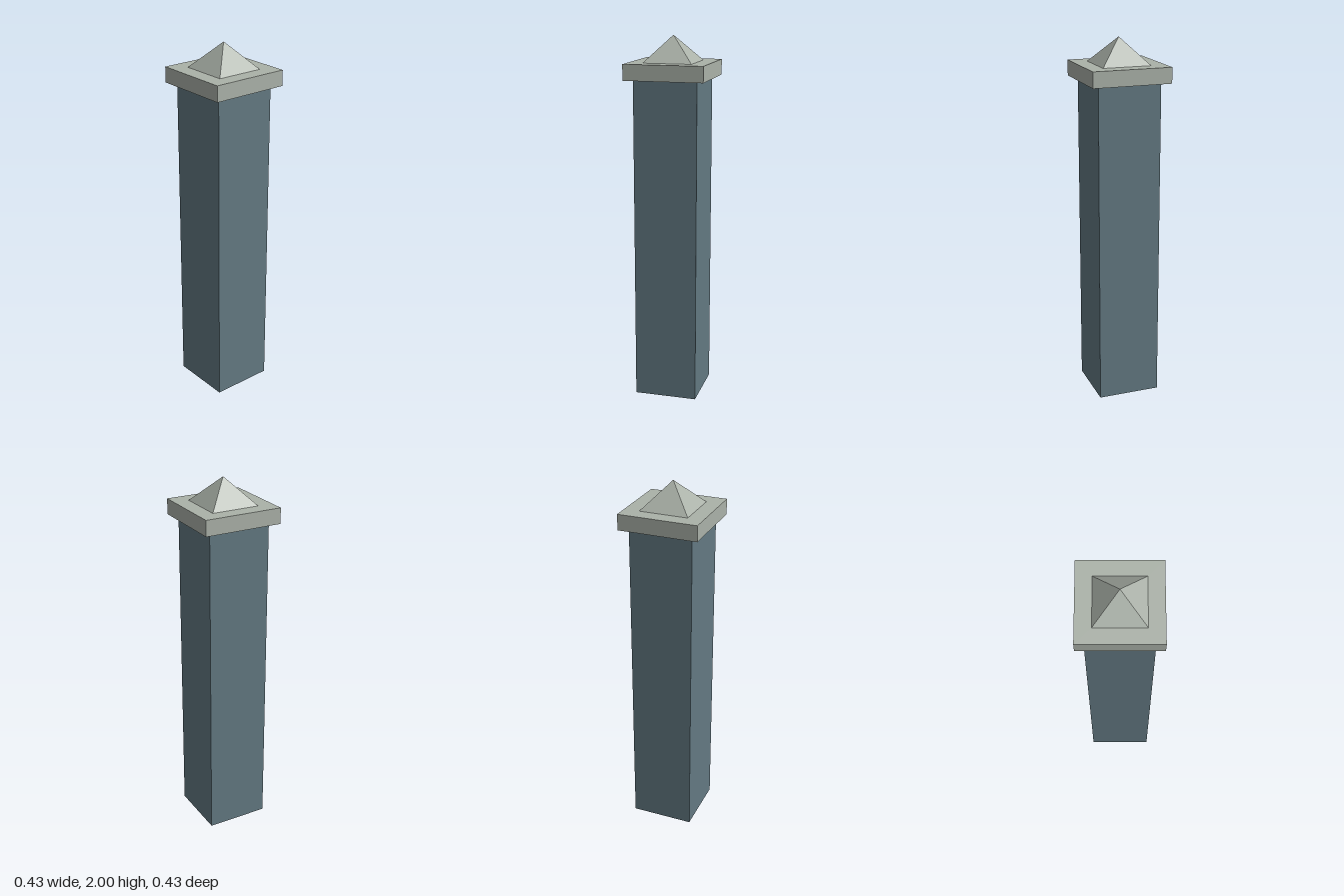
import * as THREE from 'three';

export function createModel() {
  const group = new THREE.Group();
  const slate = new THREE.MeshStandardMaterial({ color: 0x637982 });
  slate.name = 'slate blue';
  const stone = new THREE.MeshStandardMaterial({ color: 0xabb2a9, flatShading: true });
  stone.name = 'pale stone';

  const add = (name, geometry, material, y) => {
    const mesh = new THREE.Mesh(geometry, material);
    mesh.name = name;
    mesh.position.y = y;
    group.add(mesh);
  };

  // Square post
  add('shaft', new THREE.BoxGeometry(0.345, 1.775, 0.345), slate, 1.775 / 2);

  // Overhanging slab
  add('capSlab', new THREE.BoxGeometry(0.431, 0.085, 0.431), stone, 1.8175);

  // Four-sided pyramid, turned square to the post
  const pyramid = new THREE.ConeGeometry(0.132 * Math.SQRT2, 0.14, 4).rotateY(Math.PI / 4);
  add('finial', pyramid, stone, 1.93);

  return group;
}
